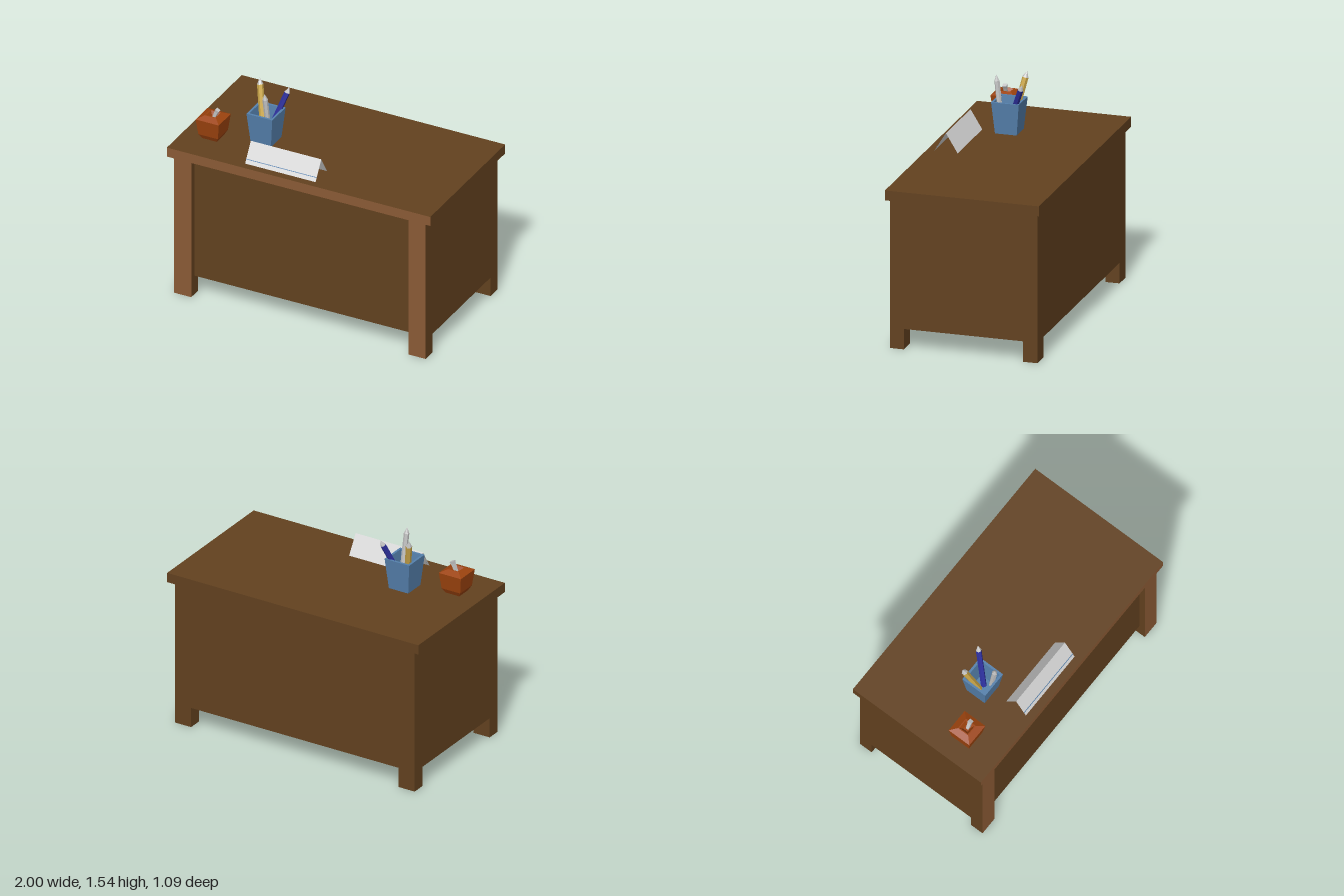
import * as THREE from 'three';

const mat = (name, color) => {
  const m = new THREE.MeshStandardMaterial({ color });
  m.name = name;
  return m;
};

export function createModel() {
  const root = new THREE.Group();
  root.name = 'desk';

  const wood = mat('dark wood', 0x62411f);
  const lightWood = mat('light wood', 0x8a5a35);
  const red = mat('apple orange red', 0x9c430e);
  const blue = mat('cup blue', 0x5580ac);
  const yellow = mat('pencil yellow', 0xd0ab4b);
  const navy = mat('pen navy', 0x2d2f9c);
  const grey = mat('light grey', 0xc4c4c4);
  const paper = mat('paper', 0xd6d6d6);
  paper.side = THREE.DoubleSide;

  const add = (name, geometry, material, parent = root) => {
    const mesh = new THREE.Mesh(geometry, material);
    mesh.name = name;
    parent.add(mesh);
    return mesh;
  };

  // Box given by its limits
  const box = (name, x0, x1, y0, y1, z0, z1, material) => {
    const m = add(name, new THREE.BoxGeometry(x1 - x0, y1 - y0, z1 - z0), material);
    m.position.set((x0 + x1) / 2, (y0 + y1) / 2, (z0 + z1) / 2);
    return m;
  };

  // Faceted lathe
  const facet = (profile, sides, phi = 0) => {
    const pts = profile.map(([r, y]) => new THREE.Vector2(r, y));
    const g = new THREE.LatheGeometry(pts, sides, phi).toNonIndexed();
    g.computeVertexNormals();
    return g;
  };
  // Square lathe: profile of [half width, y]
  const square = (profile) =>
    facet(profile.map(([h, y]) => [h * Math.SQRT2, y]), 4, Math.PI / 4);

  // Desk: only the front faces of the top and legs are light wood
  const frontLight = [wood, wood, wood, wood, lightWood, wood];
  box('deskTop', -1, 1, 1.06, 1.13, -0.545, 0.545, frontLight);
  box('deskBody', -0.955, 0.955, 0.145, 1.06, -0.52, 0.48, wood);
  for (const [side, s] of [['left', 1], ['right', -1]]) {
    const x0 = s > 0 ? 0.825 : -0.955;
    box(side + 'FrontLeg', x0, x0 + 0.13, 0, 1.06, 0.425, 0.525, frontLight);
    box(side + 'BackFoot', x0, x0 + 0.13, 0, 0.145, -0.52, -0.42, wood);
  }

  // Apple with a dimple and a leaning stem
  const apple = new THREE.Group();
  apple.name = 'apple';
  apple.position.set(-0.793, 1.13, 0.267);
  root.add(apple);
  add('appleBody', square([
    [0, 0], [0.055, 0], [0.074, 0.035], [0.088, 0.153], [0.043, 0.175], [0.036, 0.175], [0.018, 0.15], [0, 0.15],
  ]), red, apple);
  const stem = add('appleStem', square([[0, 0], [0.01, 0], [0.012, 0.06], [0.015, 0.08], [0, 0.08]]), grey, apple);
  stem.position.set(0.004, 0.145, 0.003);
  stem.rotation.z = -0.42;

  // Square pencil cup, hollow
  const cup = add('pencilCup', square([
    [0, 0], [0.077, 0], [0.098, 0.225], [0.082, 0.225], [0.06, 0.03], [0, 0.03],
  ]), blue);
  cup.position.set(-0.458, 1.13, 0.14);

  // Writing tools: shaft plus pointed tip, standing from base to end
  const tool = (name, base, end, r, color) => {
    const a = new THREE.Vector3(...base);
    const dir = new THREE.Vector3(...end).sub(a);
    const len = dir.length();
    const g = new THREE.Group();
    g.name = name;
    g.position.copy(a);
    g.quaternion.setFromUnitVectors(new THREE.Vector3(0, 1, 0), dir.normalize());
    root.add(g);
    add(name + 'Shaft', facet([[0, 0], [r, 0], [r, len - 0.045]], 6), color, g);
    add(name + 'Tip', facet([[r, len - 0.045], [0, len]], 6), grey, g);
  };
  tool('pencil', [-0.483, 1.165, 0.13], [-0.555, 1.537, 0.045], 0.022, yellow);
  tool('greyPen', [-0.41, 1.165, 0.178], [-0.427, 1.535, 0.222], 0.019, grey);
  tool('navyPen', [-0.448, 1.165, 0.142], [-0.345, 1.505, 0.012], 0.02, navy);

  // Folded name card: two leaning sheets and a thin blue line on the front
  const ridge = [1.265, 0.407];
  const sheet = (name, z) => {
    const dy = ridge[0] - 1.13;
    const dz = z - ridge[1];
    const m = add(name, new THREE.PlaneGeometry(0.535, Math.hypot(dy, dz)), paper);
    m.position.set(-0.167, 1.13 + dy / 2, (z + ridge[1]) / 2);
    m.rotation.x = -Math.atan2(dz, dy);
    return m;
  };
  const front = sheet('cardFront', 0.49);
  sheet('cardBack', 0.324);
  const line = add('cardLine', new THREE.BoxGeometry(0.535, 0.005, 0.002), blue, front);
  line.position.set(0, -0.048, 0.001);

  return root;
}
